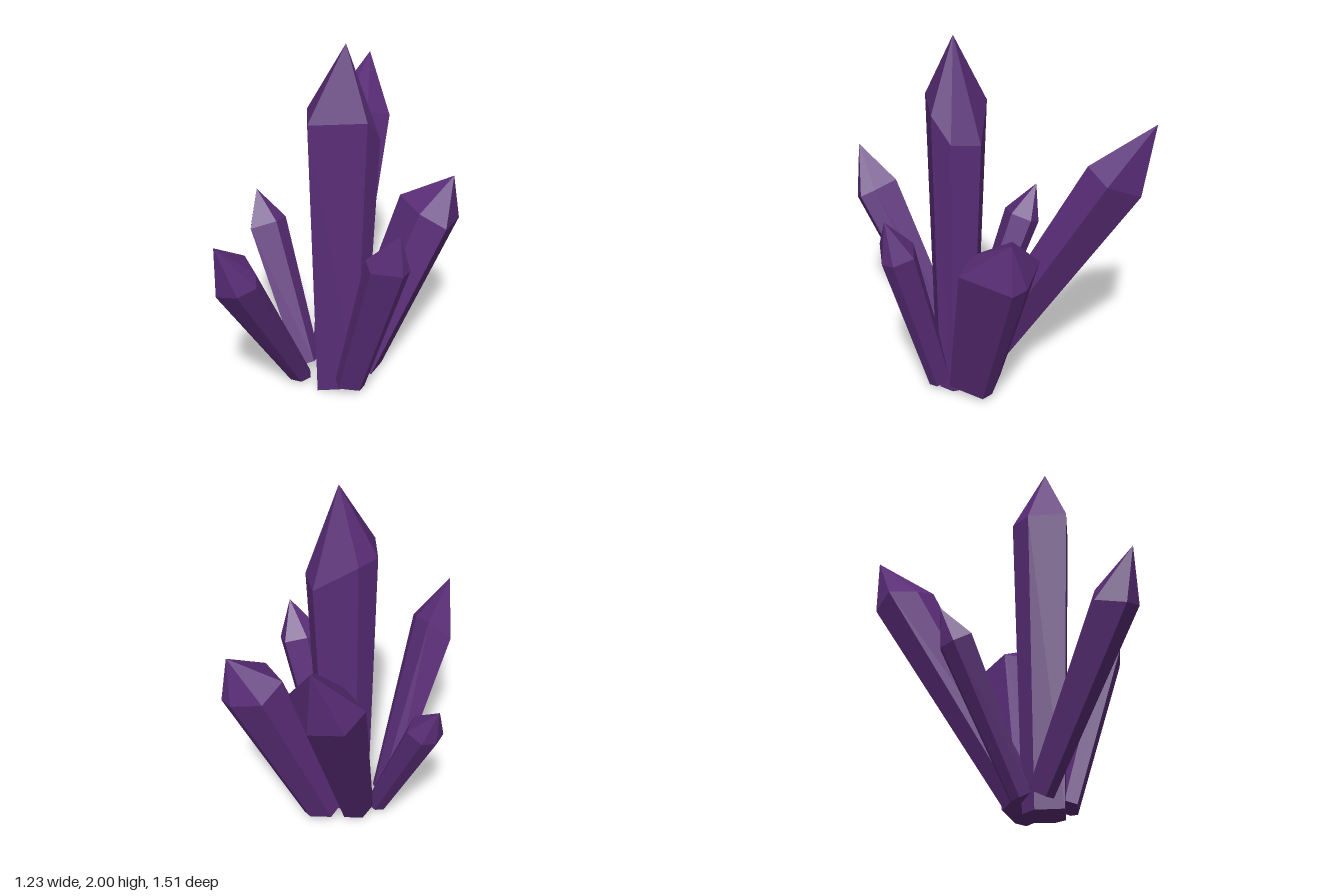
import * as THREE from 'three';

// Each crystal: foot centre, shoulder centre, tip, foot-to-shoulder scale,
// and the shoulder outline as [x, z, optional height offset].
const crystals = [
  { name: 'centralCrystal', foot: [0.13, 0, -0.035], shoulder: [0.125, 1.63, -0.035], tip: [0.14, 2, -0.05], taper: 0.72,
    ring: [[0.12, -0.24, -0.15], [0.26, -0.18, -0.13], [0.295, -0.07], [0.14, 0.18], [-0.03, 0.06], [-0.05, -0.08]] },
  { name: 'backRightCrystal', foot: [0.01, 0.06, -0.07], shoulder: [-0.46, 1.28, -0.59], tip: [-0.565, 1.58, -0.76], taper: 0.6,
    ring: [[-0.605, -0.48], [-0.62, -0.62], [-0.5, -0.745], [-0.3, -0.7], [-0.31, -0.55], [-0.44, -0.475, -0.03]] },
  { name: 'rightCrystal', foot: [-0.06, 0.05, 0.05], shoulder: [-0.43, 0.79, 0.065], tip: [-0.53, 0.96, 0.055], taper: 0.64,
    ring: [[-0.345, 0.05], [-0.41, 0.178], [-0.485, 0.13], [-0.515, 0.055], [-0.485, -0.02], [-0.4, -0.05]] },
  { name: 'frontCrystal', foot: [0, 0.05, 0.14], shoulder: [0.155, 0.93, 0.63], tip: [0.175, 1.16, 0.755], taper: 0.55,
    ring: [[0.09, 0.53], [0.22, 0.55], [0.288, 0.59], [0.25, 0.68], [0.14, 0.735, -0.02], [0.02, 0.635, -0.07]] },
  { name: 'leftCrystal', foot: [0.25, 0.05, -0.03], shoulder: [0.525, 0.94, -0.05], tip: [0.585, 1.14, -0.06], taper: 0.7,
    ring: [[0.49, -0.17], [0.59, -0.13], [0.612, -0.065], [0.525, 0.075], [0.44, 0.04], [0.42, -0.07]] },
  { name: 'backLeftCrystal', foot: [0.12, 0.06, -0.22], shoulder: [0.25, 0.97, -0.57], tip: [0.29, 1.165, -0.67], taper: 0.7,
    ring: [[0.06, -0.62], [0.22, -0.71], [0.31, -0.705], [0.457, -0.48], [0.31, -0.42], [0.1, -0.46]] },
];

const material = new THREE.MeshStandardMaterial({ color: 0x5a2d78, flatShading: true });

function makeCrystal({ name, foot, shoulder, tip, taper, ring }) {
  const base = new THREE.Vector3(...foot);
  const neck = new THREE.Vector3(...shoulder);
  const apex = new THREE.Vector3(...tip);
  const axis = neck.clone().sub(base);

  // Both outlines lie in planes square to the axis
  const offsets = ring.map(([x, z]) => {
    const dx = x - neck.x, dz = z - neck.z;
    return new THREE.Vector3(dx, -(dx * axis.x + dz * axis.z) / axis.y, dz);
  });
  const upper = offsets.map((o, i) => o.clone().add(neck).add(new THREE.Vector3(0, ring[i][2] ?? 0, 0)));
  const lower = offsets.map((o) => o.clone().multiplyScalar(taper).add(base));

  // Foot cap, shaft and pointed top
  const points = [];
  for (let i = 0; i < ring.length; i++) {
    const j = (i + 1) % ring.length;
    points.push(base, lower[i], lower[j]);
    points.push(lower[i], upper[i], upper[j], lower[i], upper[j], lower[j]);
    points.push(upper[i], apex, upper[j]);
  }
  const geometry = new THREE.BufferGeometry().setFromPoints(points);
  geometry.computeVertexNormals();
  const mesh = new THREE.Mesh(geometry, material);
  mesh.name = name;
  return mesh;
}

export function createModel() {
  const group = new THREE.Group();
  group.name = 'crystalCluster';
  for (const crystal of crystals) group.add(makeCrystal(crystal));
  return group;
}
